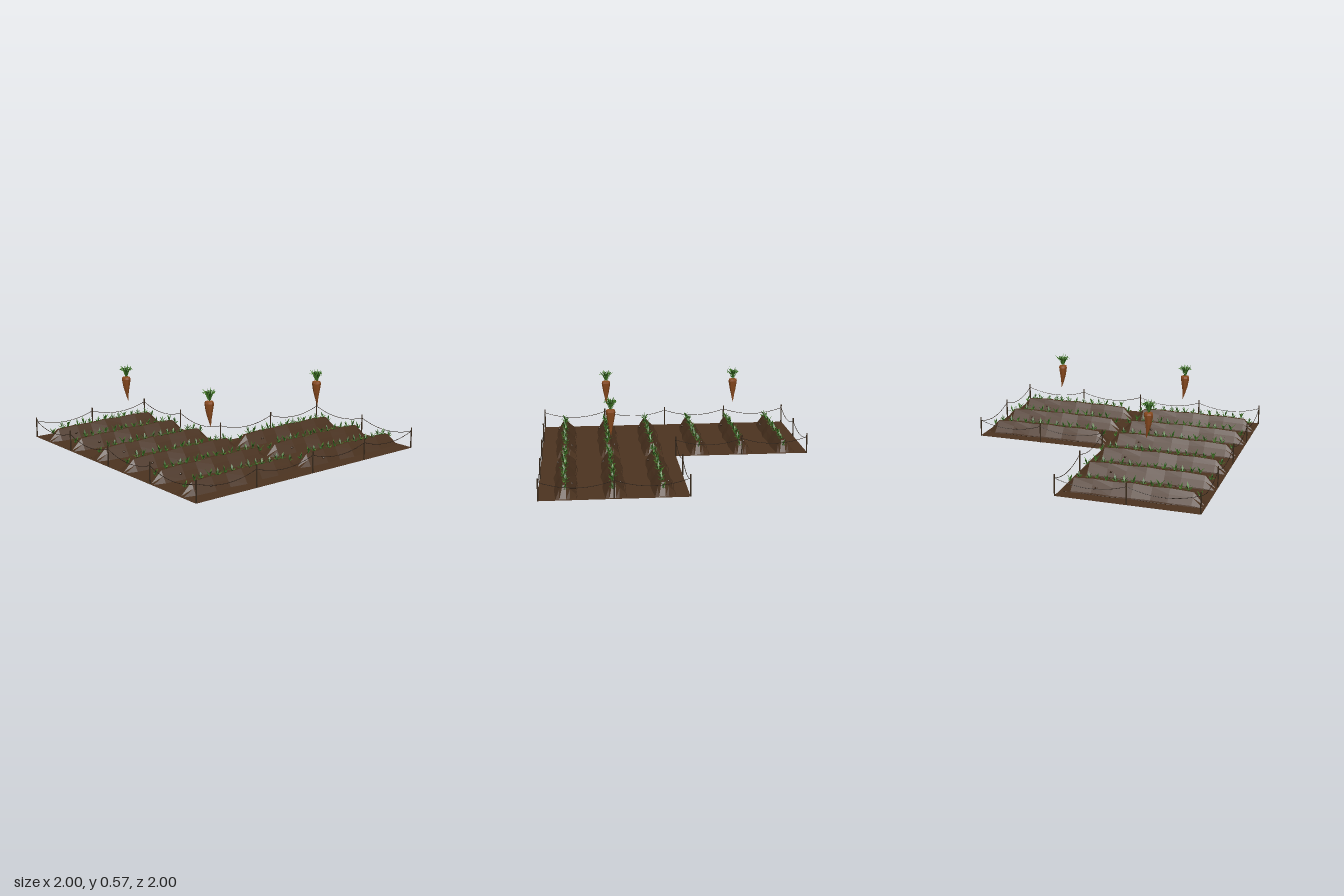
import * as THREE from 'three';
import { mergeGeometries } from 'three/addons/utils/BufferGeometryUtils.js';

const mat = (name, color, extra = {}) => Object.assign(new THREE.MeshStandardMaterial({ color, ...extra }), { name });
const flat = { flatShading: true };
const soil = mat('soil', 0x4d3420, flat);
const ridgeSoil = mat('ridgeSoil', 0x49311e, flat);
const darkSoil = mat('darkSoil', 0x3a281a, flat);
const wood = mat('fenceWood', 0x38291a, flat);
const rope = mat('rope', 0x2c2118);
const orange = mat('carrotOrange', 0x8a4a1e, flat);
const leafDark = mat('leafDark', 0x2f5e1c, { side: THREE.DoubleSide, flatShading: true });
const leafLight = mat('leafLight', 0x447a26, { side: THREE.DoubleSide, flatShading: true });

function seeded(s) {
  return () => ((s = (s * 16807) % 2147483647) / 2147483647);
}

function mesh(name, geometry, material, parent) {
  const m = new THREE.Mesh(geometry, material);
  m.name = name;
  parent.add(m);
  return m;
}

function fromTriangles(pos) {
  const g = new THREE.BufferGeometry();
  g.setAttribute('position', new THREE.Float32BufferAttribute(pos, 3));
  g.computeVertexNormals();
  return g;
}

// One pointed leaf: a diamond that leans outwards and bends over towards its tip
function addLeaf(out, base, angle, lean, length, width) {
  const [bx, by, bz] = base;
  const c = Math.cos(angle), s = Math.sin(angle);
  const at = (t, side, droop) => {
    const r = Math.sin(lean) * length * t * droop, h = Math.cos(lean) * length * t;
    return [bx + c * r - s * side, by + h, bz + s * r + c * side];
  };
  const root = at(0, 0, 1), tip = at(1, 0, 1.2);
  const a = at(0.6, -width / 2, 0.8), b = at(0.6, width / 2, 0.8);
  // Wound so that the upper side is the front
  out.push(...root, ...a, ...b, ...a, ...tip, ...b);
}

// Mound of earth lofted along x from triangular cross-sections, with slanted ends
function ridgeGeometry() {
  //            x      back   front  height
  const rings = [
    [-0.490, -0.075, 0.065, 0.004], [-0.410, -0.080, 0.060, 0.080],
    [-0.250, -0.082, 0.070, 0.088], [-0.130, -0.074, 0.064, 0.084],
    [0.000, -0.080, 0.080, 0.092], [0.140, -0.084, 0.066, 0.085],
    [0.280, -0.074, 0.072, 0.090], [0.420, -0.086, 0.064, 0.082],
    [0.490, -0.078, 0.058, 0.004]
  ].map(([x, b, f, h]) => [
    [x, 0, b], [x, h * 0.12, b + 0.003], [x, h * 0.62, b * 0.45], [x, h, -0.012],
    [x, h, 0.01], [x, h * 0.55, f * 0.55], [x, 0, f]
  ]);
  const pos = [];
  for (let i = 0; i < rings.length - 1; i++) {
    for (let j = 0; j < 6; j++) {
      const a = rings[i][j], b = rings[i + 1][j], c = rings[i + 1][j + 1], d = rings[i][j + 1];
      pos.push(...a, ...d, ...c, ...a, ...c, ...b);
    }
  }
  return fromTriangles(pos);
}

// Thin furrow line along the back foot of a ridge
function furrowGeometry() {
  const pts = [];
  for (let i = 0; i <= 12; i++) {
    pts.push(new THREE.Vector3(-0.47 + i * 0.0783, 0.004, -0.082 + 0.006 * Math.sin(i * 1.3)));
  }
  return new THREE.TubeGeometry(new THREE.CatmullRomCurve3(pts), 24, 0.0015, 4);
}

// Row of small sprouts growing on top of a ridge, lower on its slanted ends
function buildSprouts(parent, seed) {
  const rnd = seeded(seed), tones = [[], []];
  for (let i = 0; i < 15; i++) {
    const x = -0.44 + i * 0.0635 + (rnd() - 0.5) * 0.02;
    const base = [x, Math.min(0.08, (0.49 - Math.abs(x)) * 0.95 + 0.01), (rnd() - 0.5) * 0.014];
    const size = 0.85 + rnd() * 0.3, turn = rnd() * 6.28;
    for (let k = 0; k < 6; k++) {
      const lean = k % 2 ? 0.85 + rnd() * 0.25 : 0.2 + rnd() * 0.4;
      addLeaf(tones[k % 3 === 1 ? 1 : 0], base, turn + k * 1.05, lean, (k % 2 ? 0.034 : 0.054) * size, 0.014);
    }
  }
  mesh('sproutLeavesDark', fromTriangles(tones[0]), leafDark, parent);
  mesh('sproutLeavesLight', fromTriangles(tones[1]), leafLight, parent);
}

function buildCarrot() {
  const g = new THREE.Group();
  g.name = 'floatingCarrot';
  const profile = [[0, 0.298], [0.006, 0.325], [0.013, 0.36], [0.022, 0.4], [0.029, 0.44],
    [0.033, 0.467], [0.029, 0.482], [0.012, 0.487], [0, 0.484]];
  const body = new THREE.LatheGeometry(profile.map(p => new THREE.Vector2(...p)), 8);
  const p = body.attributes.position;
  // The tip bends slightly to one side
  for (let i = 0; i < p.count; i++) {
    const t = Math.max(0, (0.43 - p.getY(i)) / 0.13);
    p.setX(i, p.getX(i) + 0.014 * t * t);
  }
  body.computeVertexNormals();
  mesh('carrotRoot', body, orange, g);
  // Leafy top: upright stalks with spreading leaflets that face upwards
  const rnd = seeded(77), tones = [[], []];
  for (let i = 0; i < 16; i++) {
    const a = i * 2.4, lean = 0.08 + 0.5 * (i / 16);
    const base = [Math.cos(a) * 0.007, 0.482, Math.sin(a) * 0.007];
    addLeaf(tones[i % 2], base, a, lean, 0.08 + rnd() * 0.016, 0.013);
  }
  for (let i = 0; i < 22; i++) {
    const a = i * 2.4, r = 0.006 + 0.024 * Math.sqrt(i / 22);
    const base = [Math.cos(a) * r, 0.55 - r * 0.7, Math.sin(a) * r];
    addLeaf(tones[i % 2], base, a + rnd() - 0.5, 1.0 + rnd() * 0.3, 0.026, 0.016);
  }
  mesh('carrotLeavesDark', fromTriangles(tones[0]), leafDark, g);
  mesh('carrotLeavesLight', fromTriangles(tones[1]), leafLight, g);
  return g;
}

function buildPlot(cx, cz) {
  const plot = new THREE.Group();
  plot.name = 'plot';
  plot.position.set(cx, 0, cz);
  mesh('ground', new THREE.BoxGeometry(1, 0.002, 1), soil, plot).position.y = 0.001;
  [-0.325, 0, 0.325].forEach((z, i) => {
    const row = new THREE.Group();
    row.name = 'cropRow';
    row.position.z = z;
    mesh('ridge', ridgeGeometry(), ridgeSoil, row);
    mesh('furrow', furrowGeometry(), darkSoil, row);
    buildSprouts(row, 101 + i * 37);
    // Pebbles pressed into the slopes
    [[0.25, 0.04, -0.05], [-0.28, 0.04, 0.05]].forEach(q => {
      const s = mesh('pebble', new THREE.IcosahedronGeometry(0.012, 0), darkSoil, row);
      s.position.set(...q);
      s.scale.set(1, 0.7, 0.8);
    });
    plot.add(row);
  });
  plot.add(buildCarrot());
  return plot;
}

// Posts every half unit around the L-shaped outline, joined by sagging rope
function buildFence() {
  const fence = new THREE.Group();
  fence.name = 'fence';
  const e = 0.995;
  const path = [[-e, -e], [-0.5, -e], [0, -e], [0, -0.5], [0, 0], [0.5, 0], [e, 0], [e, 0.5],
    [e, e], [0.5, e], [0, e], [-0.5, e], [-e, e], [-e, 0.5], [-e, 0], [-e, -0.5]];
  const ropes = [];
  path.forEach(([x, z], i) => {
    mesh('fencePost', new THREE.CylinderGeometry(0.005, 0.005, 0.152, 6), wood, fence).position.set(x, 0.076, z);
    const [nx, nz] = path[(i + 1) % path.length];
    const curve = new THREE.QuadraticBezierCurve3(
      new THREE.Vector3(x, 0.126, z),
      new THREE.Vector3((x + nx) / 2, 0.036, (z + nz) / 2),
      new THREE.Vector3(nx, 0.126, nz));
    ropes.push(new THREE.TubeGeometry(curve, 12, 0.002, 5));
  });
  mesh('fenceRope', mergeGeometries(ropes), rope, fence);
  return fence;
}

export function createModel() {
  const model = new THREE.Group();
  model.name = 'carrotField';
  [[-0.5, -0.5], [-0.5, 0.5], [0.5, 0.5]].forEach(([x, z]) => model.add(buildPlot(x, z)));
  model.add(buildFence());
  return model;
}
